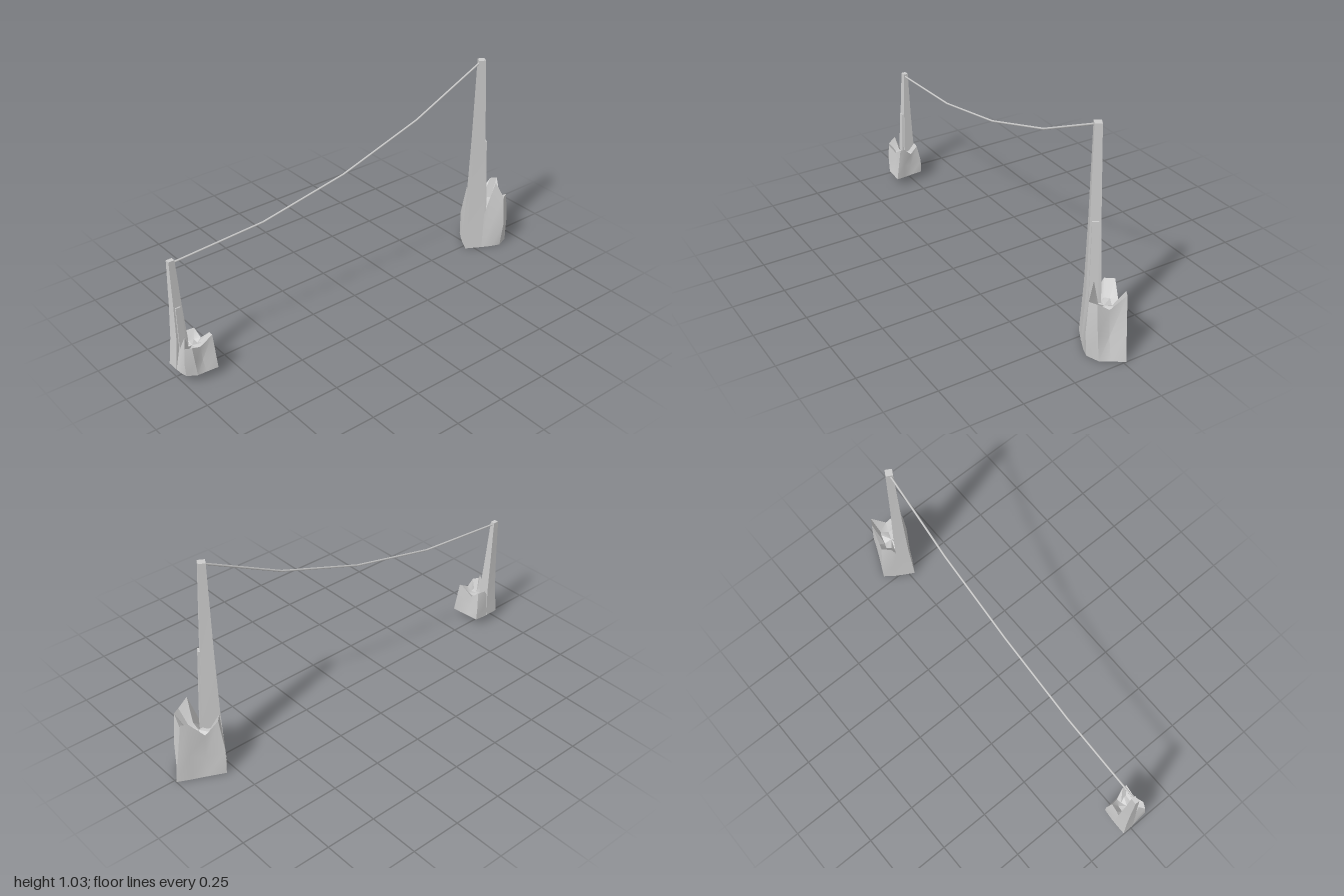
import * as THREE from 'three';
import { toCreasedNormals } from 'three/addons/utils/BufferGeometryUtils.js';

const material = new THREE.MeshStandardMaterial({ color: 0xcccccc });

function addMesh(parent, name, geometry) {
  const mesh = new THREE.Mesh(geometry, material);
  mesh.name = name;
  parent.add(mesh);
  return mesh;
}

// Skin a stack of equal rings, counterclockwise from above, closed at both ends.
function loft(rings) {
  const n = rings[0].length;
  const points = rings.flat();
  const index = [];
  for (let r = 0; r < rings.length - 1; r++) {
    for (let i = 0; i < n; i++) {
      const j = (i + 1) % n;
      const a = r * n + i, b = r * n + j;
      index.push(a, b, b + n, a, b + n, a + n);
    }
  }
  const last = (rings.length - 1) * n;
  for (const [start, top] of [[0, false], [last, true]]) {
    const centre = new THREE.Vector3();
    for (let i = 0; i < n; i++) centre.addScaledVector(points[start + i], 1 / n);
    const c = points.push(centre) - 1;
    for (let i = 0; i < n; i++) {
      const a = start + i, b = start + (i + 1) % n;
      if (top) index.push(c, a, b);
      else index.push(c, b, a);
    }
  }
  const geometry = new THREE.BufferGeometry().setFromPoints(points);
  geometry.setIndex(index);
  return toCreasedNormals(geometry, 0.55);
}

// Tapering four-sided splinter; sections are [y, x0, x1, depth0, depth1].
function splinter(sections) {
  return loft(sections.map(([y, x0, x1, d0, d1]) => [
    new THREE.Vector3(x0, y, -d0), new THREE.Vector3(x1, y, -d0),
    new THREE.Vector3(x1, y, -d1), new THREE.Vector3(x0, y, -d1),
  ]));
}

// Broken outline: base x, base depth, rim x, rim depth, rim height, waist bulge.
const outline = [
  [0.002, 0.002, 0.02, 0.02, 0.25, 0],
  [0.095, 0.002, 0.09, 0.02, 0.17, 0],
  [0.14, 0.004, 0.15, 0.035, 0.355, 0.006],
  [0.185, 0.012, 0.19, 0.012, 0.28, 0.012],
  [0.225, 0.06, 0.212, 0.045, 0.28, 0.006],
  [0.228, 0.11, 0.195, 0.1, 0.24, -0.012],
  [0.235, 0.175, 0.195, 0.17, 0.31, 0],
  [0.17, 0.172, 0.16, 0.17, 0.31, 0.006],
  [0.1, 0.166, 0.09, 0.15, 0.22, -0.004],
  [0.01, 0.16, 0.03, 0.142, 0.285, 0.012],
  [0.002, 0.1, 0.02, 0.095, 0.283, 0.004],
  [0.002, 0.06, 0.018, 0.07, 0.22, 0],
];

function createStump(name) {
  const stump = new THREE.Group();
  stump.name = name;

  const core = new THREE.Vector3(0.115, 0.2, -0.09);
  const base = outline.map(([x, d]) => new THREE.Vector3(x, 0, -d));
  const rim = outline.map(([, , x, d, y]) => new THREE.Vector3(x, y, -d));
  const waist = base.map((p, i) => {
    const q = p.clone().lerp(rim[i], 0.45);
    const out = q.clone().sub(core).setY(0).normalize();
    return q.addScaledVector(out, outline[i][5]);
  });
  // Hollow inside the jagged rim
  const hollow = rim.map((p) => {
    const q = p.clone().lerp(core, 0.45);
    q.y = 0.19 + 0.25 * (p.y - 0.2);
    return q;
  });
  addMesh(stump, 'brokenTrunk', loft([base, waist, rim, hollow]));

  // Tall splinter left standing at one corner, with a shorter sliver beside it
  addMesh(stump, 'spire', splinter([
    [0.002, 0, 0.085, 0, 0.08],
    [0.27, 0.013, 0.094, 0.012, 0.076],
    [0.6, 0.02, 0.078, 0.018, 0.065],
    [1.033, 0.025, 0.058, 0.022, 0.055],
  ]));
  addMesh(stump, 'sliver', splinter([
    [0.15, 0.06, 0.108, 0.022, 0.065],
    [0.6, 0.06, 0.087, 0.026, 0.055],
  ]));
  return stump;
}

export function createModel() {
  const model = new THREE.Group();
  model.name = 'stumpsWithRope';

  const tall = createStump('tallStump');
  tall.position.set(0.025, 0, -0.71);
  tall.rotation.y = 1.06;
  model.add(tall);

  const small = createStump('smallStump');
  small.position.set(-0.052, 0.04, 1);
  small.scale.set(0.66, 0.522, 0.88);
  model.add(small);

  // Sagging rope in straight lengths
  const rope = new THREE.Group();
  rope.name = 'rope';
  const path = [
    [-0.022, 0.565, 0.965], [-0.015, 0.595, 0.5], [-0.007, 0.685, 0.06],
    [0, 0.83, -0.37], [0.01, 1.02, -0.755],
  ].map((p) => new THREE.Vector3(...p));
  for (let i = 0; i < path.length - 1; i++) {
    const span = path[i + 1].clone().sub(path[i]);
    const length = addMesh(rope, 'ropeLength',
      new THREE.CylinderGeometry(0.005, 0.005, span.length() + 0.002, 6));
    length.position.copy(path[i]).addScaledVector(span, 0.5);
    length.quaternion.setFromUnitVectors(new THREE.Vector3(0, 1, 0), span.normalize());
  }
  model.add(rope);
  return model;
}
